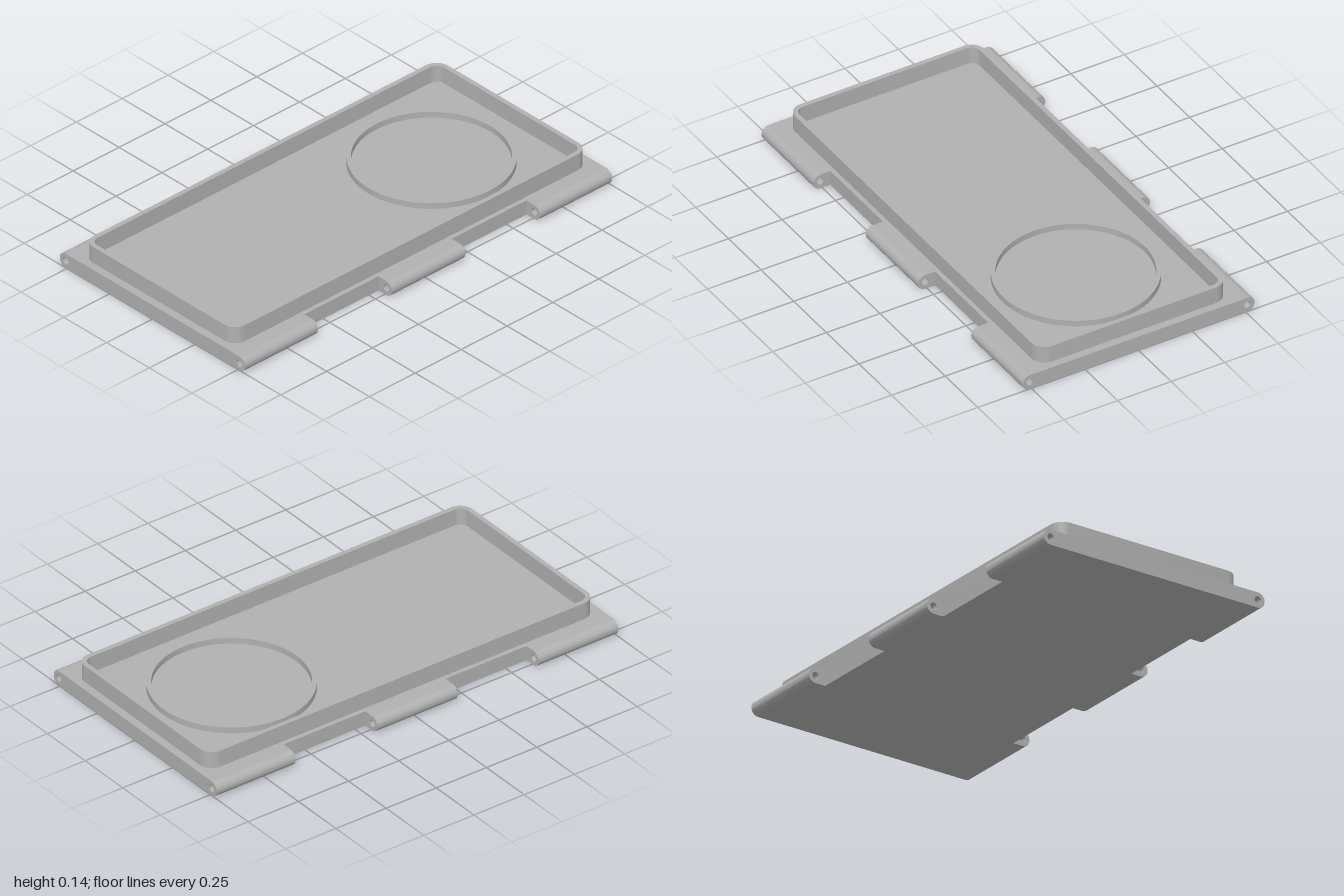
import * as THREE from 'three';
import { toCreasedNormals } from 'three/addons/utils/BufferGeometryUtils.js';

const T = 0.067;          // plate thickness
const R = T / 2;          // hinge knuckle radius
const HINGE_X = 0.508;    // hinge axis
const EDGE_X = 0.462;     // plate edge between knuckles

const grey = new THREE.MeshStandardMaterial({ color: 0xb0b0b0 });
grey.name = 'grey';

function extrude(shape, depth, curveSegments = 24) {
  const g = new THREE.ExtrudeGeometry(shape, { depth, bevelEnabled: false, curveSegments });
  return toCreasedNormals(g, 0.6);
}

function circlePath(x, y, r) {
  return new THREE.Path().absarc(x, y, r, 0, Math.PI * 2, true);
}

// Rounded rectangle centred on the origin, from half sizes
function roundedRect(w, h, r) {
  const s = new THREE.Shape();
  s.absarc(w - r, h - r, r, 0, Math.PI / 2);
  s.absarc(-w + r, h - r, r, Math.PI / 2, Math.PI);
  s.absarc(-w + r, -h + r, r, Math.PI, Math.PI * 1.5);
  s.absarc(w - r, -h + r, r, Math.PI * 1.5, Math.PI * 2);
  s.closePath();
  return s;
}

export function createModel() {
  const model = new THREE.Group();
  model.name = 'hingedTray';
  const add = (name, geometry) => {
    const mesh = new THREE.Mesh(geometry, grey);
    mesh.name = name;
    model.add(mesh);
    return mesh;
  };

  // Wide plate sections: rounded edges with a pin hole on each side
  const profile = new THREE.Shape();
  profile.absarc(HINGE_X, R, R, -Math.PI / 2, Math.PI / 2);
  profile.absarc(-HINGE_X, R, R, Math.PI / 2, Math.PI * 1.5);
  profile.closePath();
  for (const x of [-HINGE_X, HINGE_X]) profile.holes.push(circlePath(x, R, 0.016));
  for (const [z0, z1] of [[-1, -0.607], [-0.2, 0.2], [0.603, 1]]) {
    add('knucklePlate', extrude(profile, z1 - z0)).position.z = z0;
  }

  // Narrow plate sections between the knuckles
  for (const [z0, z1] of [[-0.607, -0.2], [0.2, 0.603]]) {
    add('notchedPlate', new THREE.BoxGeometry(EDGE_X * 2, T, z1 - z0))
      .position.set(0, R, (z0 + z1) / 2);
  }

  // Raised rectangular rim
  const rim = roundedRect(0.442, 0.965, 0.06);
  rim.holes.push(roundedRect(0.421, 0.944, 0.039));
  const rimMesh = add('rim', extrude(rim, 0.143 - T, 12));
  rimMesh.rotation.x = -Math.PI / 2;
  rimMesh.position.y = T;

  // Low circular ridge on the floor
  const ring = new THREE.Shape().absarc(0, 0, 0.34, 0, Math.PI * 2);
  ring.holes.push(circlePath(0, 0, 0.321));
  const ringMesh = add('ringRidge', extrude(ring, 0.027, 64));
  ringMesh.rotation.x = -Math.PI / 2;
  ringMesh.position.set(0, T, -0.52);

  return model;
}
